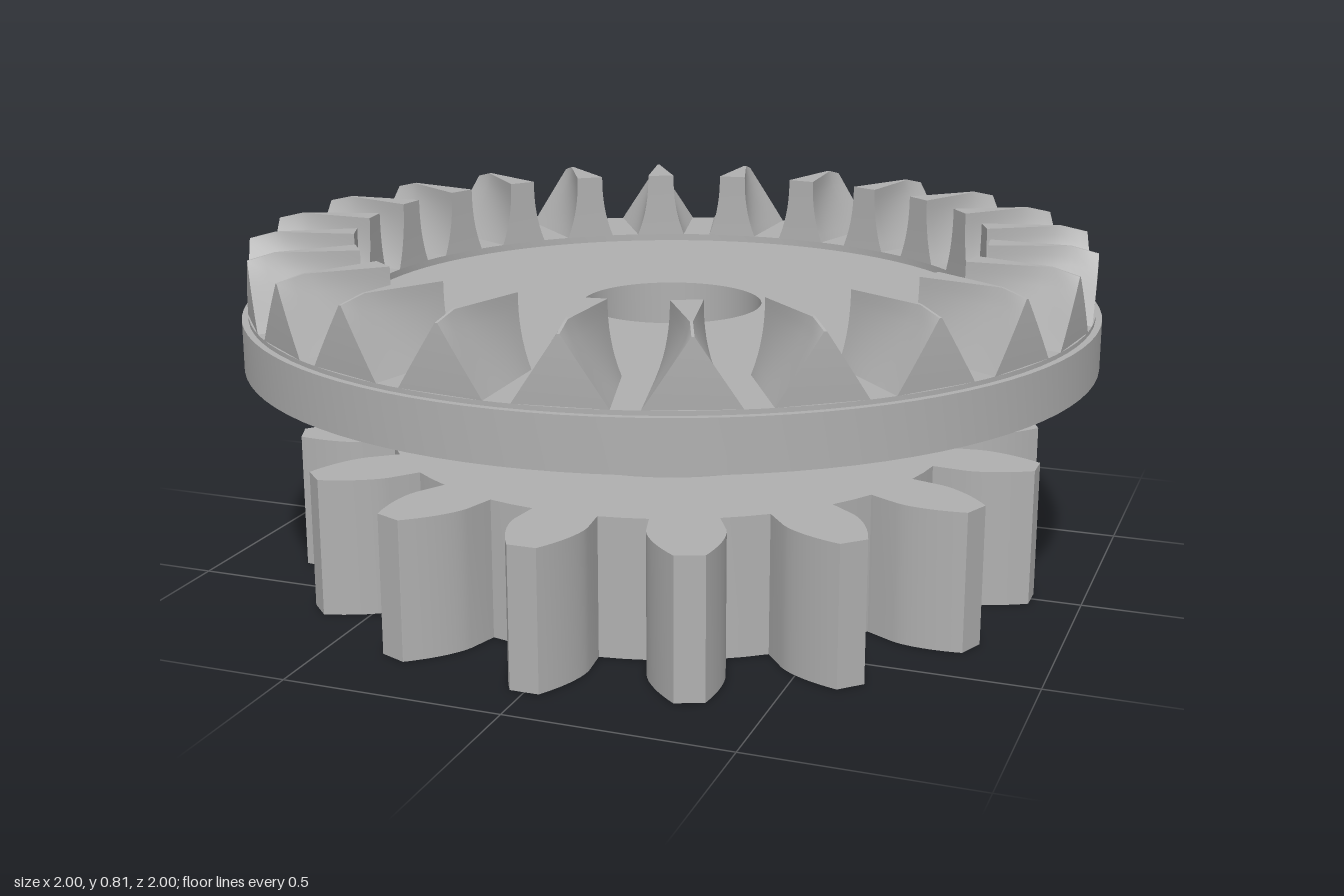
import * as THREE from 'three';
import { toCreasedNormals } from 'three/addons/utils/BufferGeometryUtils.js';

const BORE = 0.212;
const mix = THREE.MathUtils.lerp;

// Involute spur gear outline, one tooth centred on angle 0
function spurGeometry(teeth, outer, root, height) {
  const pitchR = outer * teeth / (teeth + 2);
  const pressure = THREE.MathUtils.degToRad(20);
  const baseR = pitchR * Math.cos(pressure);
  const inv = a => Math.tan(a) - a;
  const baseHalf = Math.PI / (2 * teeth) + inv(pressure);
  const flank = [[root, baseHalf]];
  for (let i = 0; i <= 8; i++) {
    const r = mix(baseR, outer, i / 8);
    flank.push([r, baseHalf - inv(Math.acos(Math.min(1, baseR / r)))]);
  }
  const points = [];
  const add = (r, a) => points.push(new THREE.Vector2(r * Math.cos(a), r * Math.sin(a)));
  for (let k = 0; k < teeth; k++) {
    const mid = k * Math.PI * 2 / teeth;
    flank.forEach(([r, a]) => add(r, mid - a));
    [...flank].reverse().forEach(([r, a]) => add(r, mid + a));
    add(root, mid + Math.PI / teeth);
  }
  const shape = new THREE.Shape(points);
  shape.holes.push(new THREE.Path().absarc(0, 0, BORE, 0, Math.PI * 2, true));
  const geo = new THREE.ExtrudeGeometry(shape, { depth: height, bevelEnabled: false, curveSegments: 48 });
  geo.rotateX(-Math.PI / 2);
  return toCreasedNormals(geo, 0.5);
}

// Crown tooth lofted outward: U-shaped gaps inside, a pointed triangle outside
function crownToothGeometry() {
  const stations = 12, side = 8, row = 2 * side + 2;
  const floor = 0.65, pos = [], index = [];
  for (let i = 0; i <= stations; i++) {
    const t = i / stations;
    const r = mix(0.74, 0.985, t);
    const top = 0.81 - 0.015 * Math.max(0, (t - 0.75) / 0.25);
    const land = mix(0.034, 0.003, Math.min(1, t / 0.75));
    const base = mix(0.062, 0.099, t);
    const power = mix(2.3, 1, t);
    for (let j = 0; j < row; j++) {
      const left = j <= side;
      const v = (left ? j : row - 1 - j) / side;
      const half = land + (base - land) * Math.pow(1 - v, power);
      const a = (left ? -half : half) / r;
      pos.push(r * Math.sin(a), mix(floor, top, v), r * Math.cos(a));
    }
  }
  for (let i = 0; i < stations; i++) {
    for (let j = 0; j < row - 1; j++) {
      const p = i * row + j, q = p + row;
      index.push(p, q, p + 1, q, q + 1, p + 1);
    }
  }
  // end caps, stitched across the tooth
  const last = stations * row;
  for (let j = 0; j < side; j++) {
    const k = row - 1 - j;
    index.push(j, j + 1, k, j + 1, k - 1, k);
    index.push(last + j, last + k, last + j + 1, last + j + 1, last + k, last + k - 1);
  }
  const geo = new THREE.BufferGeometry();
  geo.setAttribute('position', new THREE.Float32BufferAttribute(pos, 3));
  geo.setIndex(index);
  return toCreasedNormals(geo, 0.5);
}

export function createModel() {
  const group = new THREE.Group();
  group.name = 'compoundGear';
  const steel = new THREE.MeshStandardMaterial({ color: 0xb0b0b0 });
  steel.name = 'steelGrey';
  const add = (name, geo, parent = group) => {
    const mesh = new THREE.Mesh(geo, steel);
    mesh.name = name;
    parent.add(mesh);
    return mesh;
  };

  // Lower spur gear
  add('spurGear', spurGeometry(16, 0.885, 0.664, 0.32));

  // Hub and crown disc turned as one body around the bore
  const profile = [
    [BORE, 0.32], [0.383, 0.32], [0.383, 0.525], [1, 0.525], [1, 0.64], [0.985, 0.64],
    [0.985, 0.65], [0.74, 0.65], [0.74, 0.633], [BORE, 0.633], [BORE, 0.32],
  ].map(([r, y]) => new THREE.Vector2(r, y));
  add('hubAndDisc', toCreasedNormals(new THREE.LatheGeometry(profile, 96), 0.5));

  // Ring of crown teeth
  const ring = new THREE.Group();
  ring.name = 'crownTeeth';
  group.add(ring);
  const tooth = crownToothGeometry();
  for (let k = 0; k < 24; k++) {
    add('crownTooth', tooth, ring).rotation.y = (k + 0.5) * Math.PI / 12;
  }
  return group;
}
